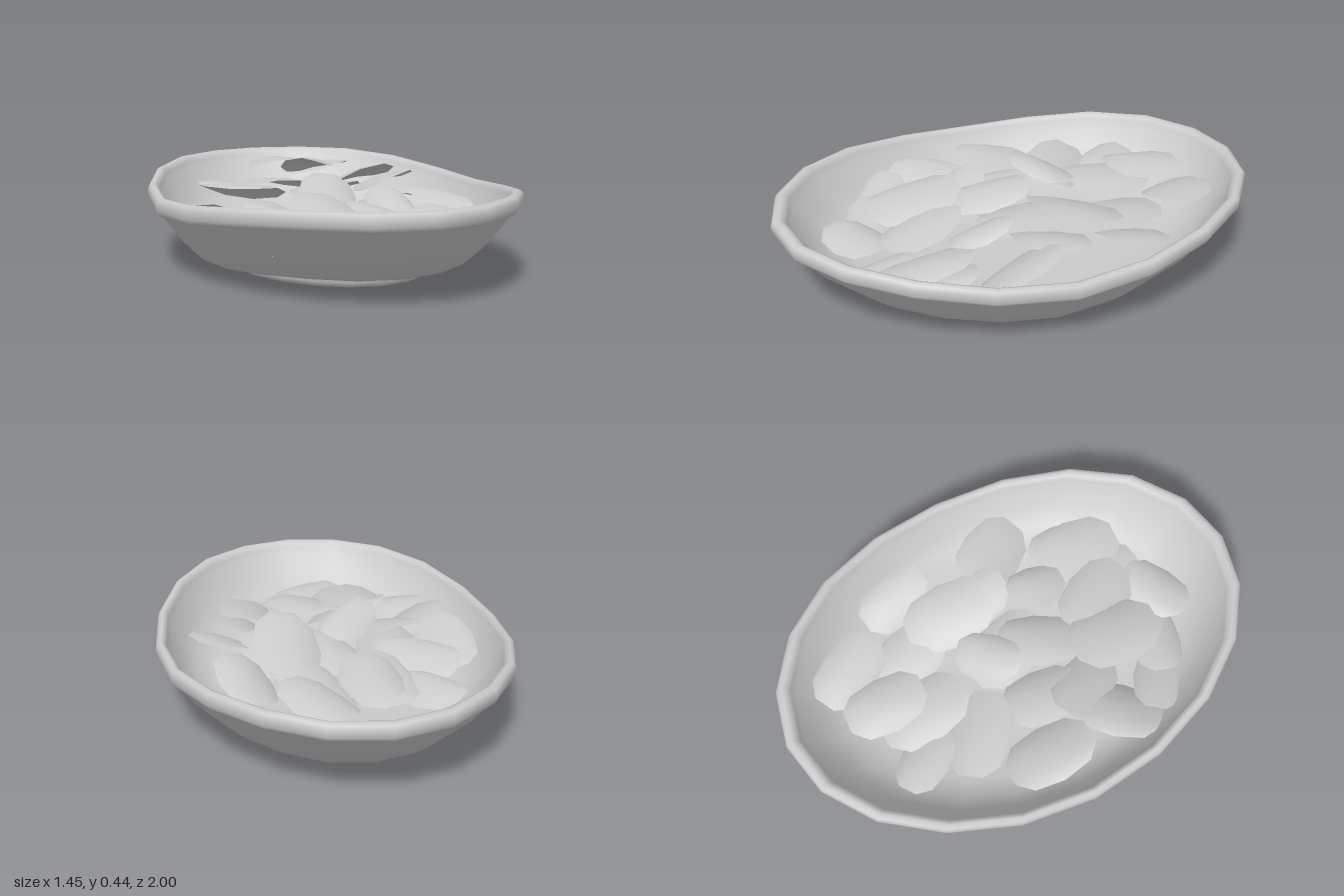
import * as THREE from 'three';
import { mergeVertices } from 'three/addons/utils/BufferGeometryUtils.js';

const material = new THREE.MeshStandardMaterial({ color: 0xcccccc });
const chipMaterial = new THREE.MeshStandardMaterial({ color: 0xcccccc, side: THREE.DoubleSide });

// Weld the vertices so normals run smoothly over seams
function smooth(geometry) {
  geometry.deleteAttribute('uv');
  geometry.deleteAttribute('normal');
  const merged = mergeVertices(geometry, 1e-5);
  merged.computeVertexNormals();
  return merged;
}

// Lathed oval: squeezed in x, with both ends swept up by a soft step
function ovalLathe(name, lift, profile) {
  const geometry = new THREE.LatheGeometry(profile.map(([r, y]) => new THREE.Vector2(r, y)), 20);
  const p = geometry.attributes.position;
  for (let i = 0; i < p.count; i++) {
    const x = p.getX(i), z = p.getZ(i), r = Math.hypot(x, z);
    const rise = r > 0 ? THREE.MathUtils.smoothstep(Math.abs(z) / r, 0, 0.9) : 0;
    p.setXYZ(i, x * 0.725, p.getY(i) + lift * r * r * rise, z);
  }
  const mesh = new THREE.Mesh(smooth(geometry), material);
  mesh.name = name;
  return mesh;
}

// Thin curved slice with a squarish oval outline; leans on the bowl wall in x and on the heap in z
function chip([x, z, y, angle, size]) {
  const geometry = new THREE.SphereGeometry(1, 10, 3, 0, Math.PI * 2, 0, Math.PI / 2);
  const p = geometry.attributes.position;
  const s = Math.sin(angle), c = Math.cos(angle);
  const slopeX = 0.7 * x;
  const slopeZ = -5 * z * Math.exp(-6 * Math.abs(z));
  for (let i = 0; i < p.count; i++) {
    const u = p.getX(i), v = p.getZ(i);
    const across = Math.sign(u) * Math.abs(u) ** 0.8 * 0.13 * size;
    const along = Math.sign(v) * Math.abs(v) ** 0.8 * 0.188 * size;
    const dx = across * c + along * s, dz = along * c - across * s;
    p.setXYZ(i, dx, slopeX * dx + slopeZ * dz + 0.015 - 0.04 * (u * u + 0.3 * v * v), dz);
  }
  const mesh = new THREE.Mesh(smooth(geometry), chipMaterial);
  mesh.position.set(x, y, z);
  mesh.name = 'chip';
  return mesh;
}

// x, z, height, angle, size
const CHIPS = [
  // upper layer
  [-0.02, -0.58, 0.36, 0, 0.92],
  [0.19, -0.65, 0.32, 0.5, 0.92],
  [0.41, -0.35, 0.28, 0.2, 0.85],
  [0.22, -0.18, 0.335, -0.1, 1.05],
  [-0.04, -0.13, 0.40, -0.8, 0.75],
  [-0.28, -0.29, 0.28, 0.9, 1],
  [-0.47, -0.07, 0.23, 0, 1],
  [-0.04, 0.10, 0.32, -0.3, 0.9],
  [0.43, 0.12, 0.24, 0.5, 0.95],
  [0.19, 0.21, 0.28, 0, 0.7],
  [0.28, 0.46, 0.23, 0, 1.03],
  [-0.43, 0.27, 0.22, -0.7, 1],
  [-0.15, 0.40, 0.29, 0, 1.1],
  [0.04, 0.42, 0.26, 0.5, 1.03],
  [-0.03, 0.67, 0.22, -1.1, 0.85],
  // lower layer
  [-0.27, -0.53, 0.26, 0.6, 0.8],
  [-0.09, -0.45, 0.28, 0.1, 1.05],
  [0.15, -0.42, 0.25, 0.3, 1],
  [0.27, -0.06, 0.24, 0, 0.9],
  [-0.24, 0.02, 0.23, 0, 0.95],
  [0.02, -0.02, 0.21, 0.3, 1.05],
  [-0.27, 0.2, 0.22, 0.5, 0.9],
  [-0.38, 0.5, 0.19, 0.9, 0.85],
  [-0.22, 0.57, 0.18, 1.3, 0.85],
  [0.33, 0.42, 0.18, 0, 0.85],
  [0.15, 0.54, 0.18, 0.2, 0.8],
];

export function createModel() {
  const group = new THREE.Group();

  // Bowl wall with rolled rim, from the underside up and over to the floor
  group.add(ovalLathe('bowl', 0.068, [
    [0, 0.045], [0.6, 0.05], [0.735, 0.043], [0.752, 0.053], [0.80, 0.085],
    [0.876, 0.142], [0.96, 0.228], [0.985, 0.237], [0.998, 0.252], [1, 0.28],
    [0.99, 0.298], [0.97, 0.307], [0.95, 0.302], [0.938, 0.285], [0.925, 0.26],
    [0.86, 0.18], [0.78, 0.12], [0.68, 0.09], [0.5, 0.076], [0, 0.072],
  ]));

  // Foot ring with a shallow recess beneath
  group.add(ovalLathe('foot', 0.04, [
    [0, 0.04], [0.44, 0.032], [0.49, 0.022], [0.505, 0.004], [0.52, 0],
    [0.545, 0], [0.56, 0.006], [0.567, 0.02], [0.58, 0.057],
  ]));

  const chips = new THREE.Group();
  chips.name = 'chips';
  for (const spec of CHIPS) chips.add(chip(spec));
  group.add(chips);
  return group;
}
